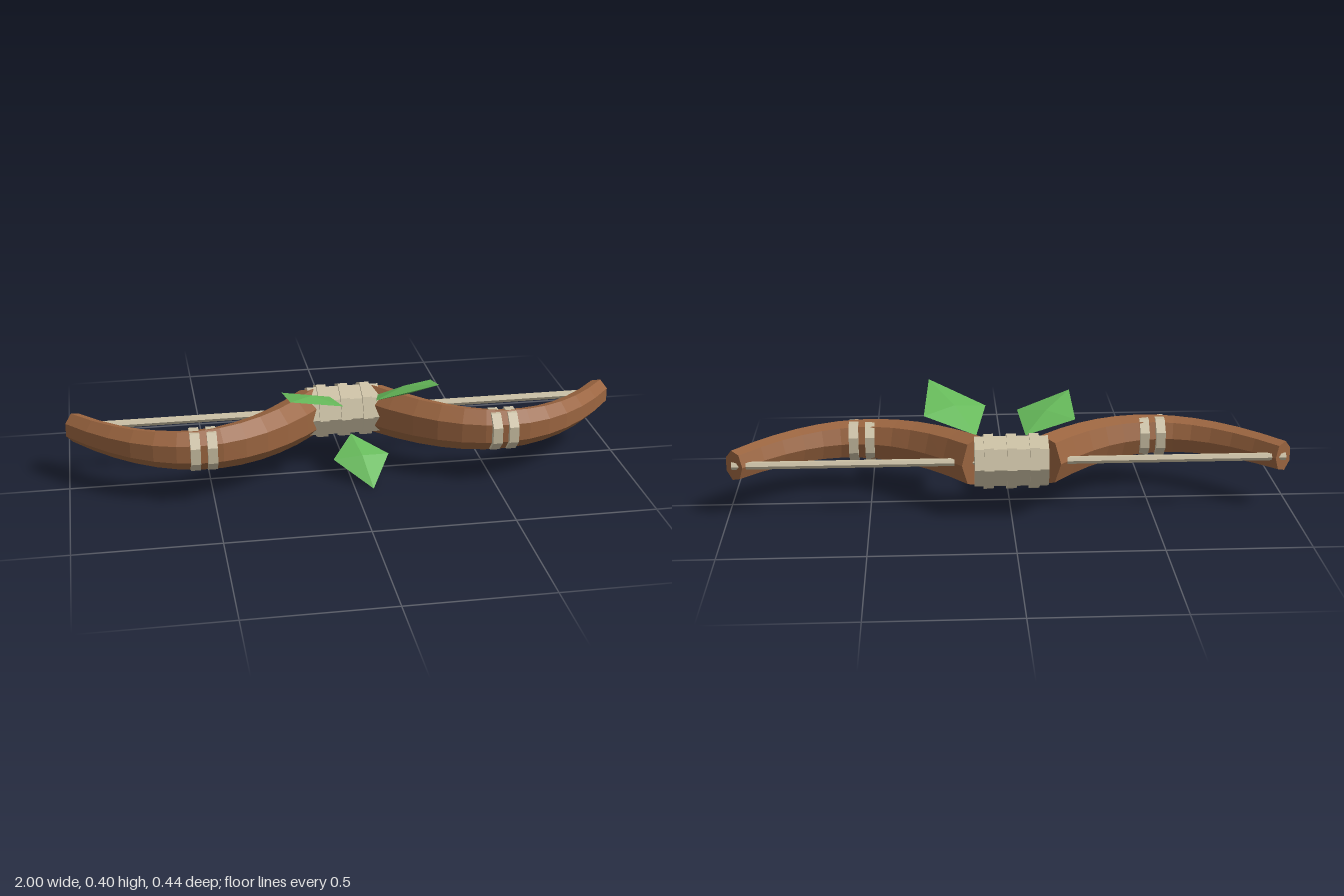
import * as THREE from 'three';

const wood = new THREE.MeshStandardMaterial({ color: 0x9b6540 });
wood.name = 'wood';
const cord = new THREE.MeshStandardMaterial({ color: 0xcbc0a4 });
cord.name = 'cord';
const green = new THREE.MeshStandardMaterial({ color: 0x66b95a });
green.name = 'leafGreen';

const CY = 0.192; // height of the bow's plane
const STRING_Z = -0.114;

// Faceted mesh: split faces so each gets its own normal
function flatMesh(name, geometry, material) {
  const g = geometry.index ? geometry.toNonIndexed() : geometry;
  g.computeVertexNormals();
  const mesh = new THREE.Mesh(g, material);
  mesh.name = name;
  return mesh;
}

// Eight-sided wrap lying along x
function wrap(name, radius, width, x, z, turn) {
  const g = new THREE.CylinderGeometry(radius, radius, width, 8);
  g.rotateY(turn).rotateZ(Math.PI / 2).translate(x, CY, z);
  return flatMesh(name, g, cord);
}

// Tapered seven-sided limb bent along an arc from grip to tip
function limb(side) {
  const arc = new THREE.QuadraticBezierCurve(
    new THREE.Vector2(0.12, -0.115),
    new THREE.Vector2(0.546, 0.417),
    new THREE.Vector2(0.972, -0.113)
  );
  const g = new THREE.CylinderGeometry(1, 1, 1, 7, 12, false, Math.PI);
  const p = g.attributes.position;
  for (let i = 0; i < p.count; i++) {
    const t = p.getY(i) + 0.5;
    const u = side > 0 ? t : 1 - t;
    const c = arc.getPoint(u);
    const d = arc.getTangent(u);
    const r = THREE.MathUtils.lerp(0.094, 0.056, u);
    const out = p.getZ(i) * r * 0.74;
    p.setXYZ(i, side * c.x - side * d.y * out, CY - p.getX(i) * r, c.y + d.x * out);
  }
  return flatMesh(side > 0 ? 'leftLimb' : 'rightLimb', g, wood);
}

// Faceted diamond leaf from four corners, thickened at its middle
function leaf(name, corners, thickness) {
  const c = corners.map((v) => new THREE.Vector3(...v));
  const mid = c.reduce((sum, v) => sum.add(v), new THREE.Vector3()).multiplyScalar(0.25);
  const n = c[2].clone().sub(c[0]).cross(c[3].clone().sub(c[1])).normalize();
  const top = mid.clone().addScaledVector(n, thickness);
  const bottom = mid.clone().addScaledVector(n, -thickness);
  const points = [];
  for (let i = 0; i < 4; i++) {
    const a = c[i], b = c[(i + 1) % 4];
    points.push(a, b, top, b, a, bottom);
  }
  return flatMesh(name, new THREE.BufferGeometry().setFromPoints(points), green);
}

export function createModel() {
  const model = new THREE.Group();
  model.name = 'bow';

  // Limbs and their paired bindings
  for (const side of [1, -1]) {
    model.add(limb(side));
    for (const x of [0.503, 0.562]) {
      model.add(wrap('limbBinding', 0.075, 0.034, side * x, 0.149, Math.PI / 8));
    }
  }

  // Wrapped grip with three raised bands
  model.add(wrap('grip', 0.094, 0.26, 0, STRING_Z, 0));
  for (const x of [-0.08, 0, 0.08]) {
    model.add(wrap('gripBand', 0.103, 0.034, x, STRING_Z, 0));
  }

  // Bowstring
  const string = new THREE.CylinderGeometry(0.014, 0.014, 1.96, 6);
  string.rotateZ(Math.PI / 2).translate(0, CY, STRING_Z);
  model.add(flatMesh('bowstring', string, cord));

  // Leaves: base, side, tip, side
  model.add(leaf('leftLeaf', [
    [0.12, 0.268, -0.05], [0.305, 0.33, -0.01], [0.285, 0.4, 0.213], [0.08, 0.322, 0.13],
  ], 0.016));
  model.add(leaf('rightLeaf', [
    [-0.055, 0.268, -0.058], [-0.035, 0.305, 0.125], [-0.23, 0.36, 0.188], [-0.235, 0.312, -0.02],
  ], 0.014));
  model.add(leaf('lowerLeaf', [
    [0.02, 0.125, -0.04], [0.145, 0.07, 0.035], [0.065, 0.003, 0.178], [-0.06, 0.07, 0.055],
  ], 0.02));

  return model;
}
